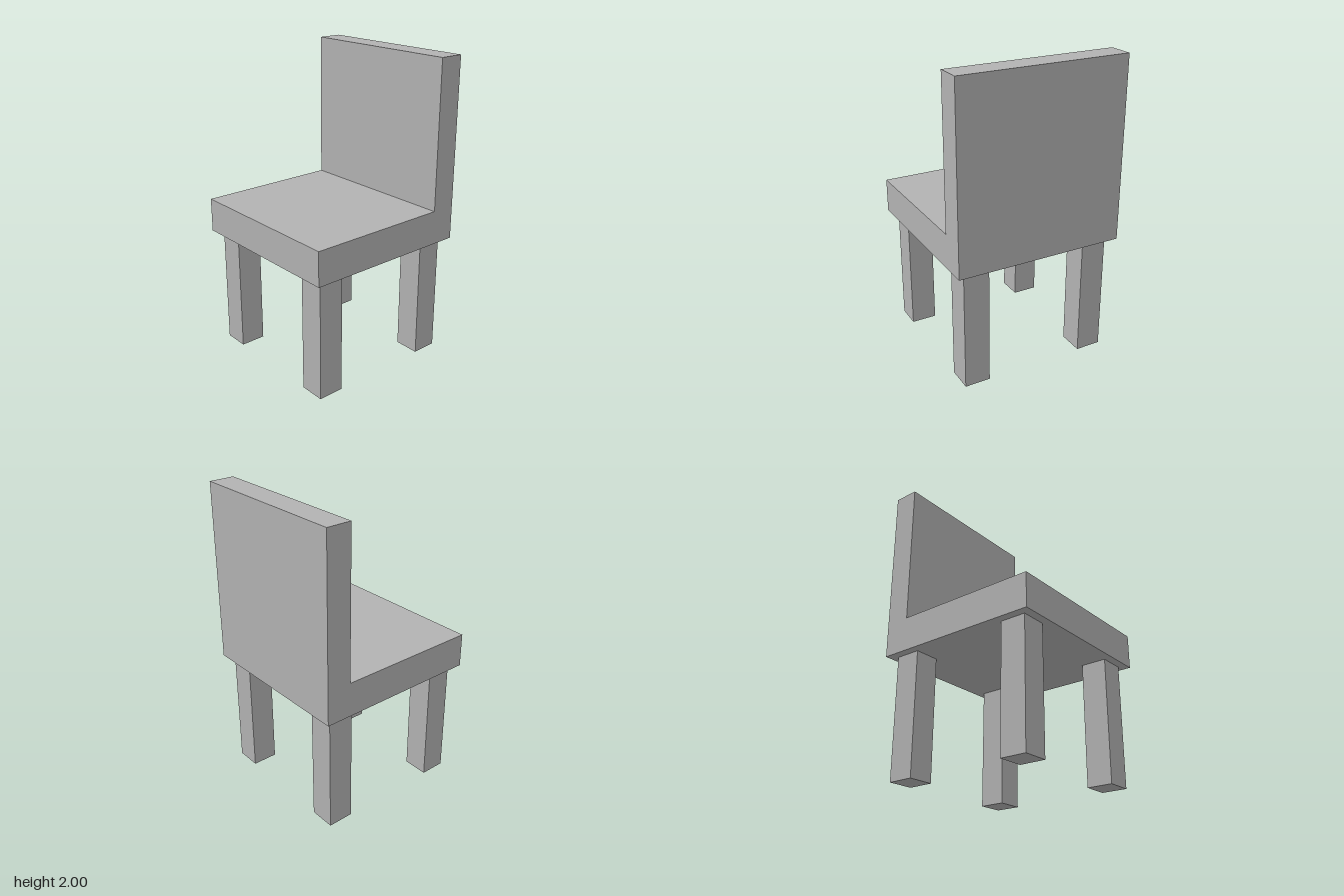
import * as THREE from 'three';

export function createModel() {
  const group = new THREE.Group();
  const grey = new THREE.MeshStandardMaterial({ color: 0xb2b2b2 });
  grey.name = 'grey';

  // Seat and backrest: one L-shaped side profile (z, y), extruded across the width
  const half = 0.56, seatBottom = 0.803, seatTop = 1.028, backFront = -0.394;
  const profile = new THREE.Shape([
    [-half, seatBottom], [half, seatBottom], [half, seatTop],
    [backFront, seatTop], [backFront, 2], [-half, 2],
  ].map(([z, y]) => new THREE.Vector2(z, y)));
  const bodyGeometry = new THREE.ExtrudeGeometry(profile, { depth: 2 * half, bevelEnabled: false });
  bodyGeometry.translate(0, 0, -half);
  bodyGeometry.rotateY(-Math.PI / 2); // profile x becomes z
  const body = new THREE.Mesh(bodyGeometry, grey);
  body.name = 'seatAndBackrest';
  group.add(body);

  // Four square legs
  const legGeometry = new THREE.BoxGeometry(0.17, seatBottom, 0.17);
  for (const [sideX, xName] of [[1, 'Left'], [-1, 'Right']]) {
    for (const [sideZ, zName] of [[1, 'front'], [-1, 'back']]) {
      const leg = new THREE.Mesh(legGeometry, grey);
      leg.name = `${zName}${xName}Leg`;
      leg.position.set(sideX * 0.42, seatBottom / 2, sideZ * 0.42);
      group.add(leg);
    }
  }
  return group;
}
